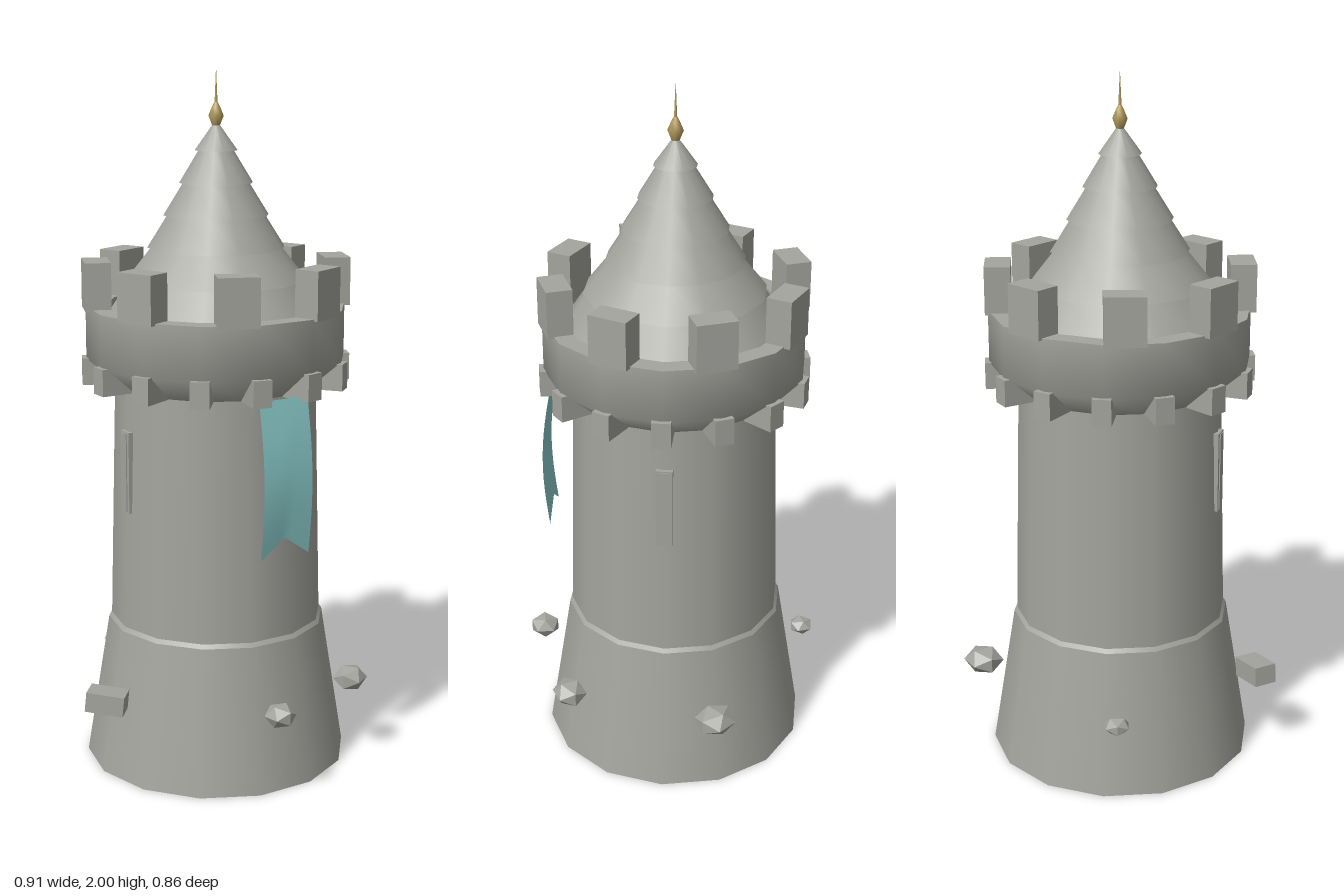
import * as THREE from 'three';

const SIDES = 14;
const material = (name, color) => {
  const m = new THREE.MeshStandardMaterial({ color, side: THREE.DoubleSide });
  m.name = name;
  return m;
};

export function createModel() {
  const stone = material('stone grey', 0xa5a59f);
  const cloth = material('banner teal', 0x8acaca);
  const gold = material('finial gold', 0xb39a5c);

  const model = new THREE.Group();
  model.name = 'tower';
  // the tower axis sits slightly off the centre of the whole
  const tower = new THREE.Group();
  tower.name = 'towerBody';
  tower.position.set(0.012, 0, -0.02);
  model.add(tower);

  const add = (parent, name, geometry, mat, x = 0, y = 0, z = 0) => {
    const mesh = new THREE.Mesh(geometry, mat);
    mesh.name = name;
    mesh.position.set(x, y, z);
    parent.add(mesh);
    return mesh;
  };
  const lathe = (name, points, mat = stone, sides = SIDES) =>
    add(tower, name, new THREE.LatheGeometry(
      points.map(([r, y]) => new THREE.Vector2(r, y)), sides, Math.PI / 2), mat);
  // blocks spaced evenly round the axis, half a step away from the front
  const ringOfBlocks = (name, count, radius, y, size) => {
    for (let i = 0; i < count; i++) {
      const a = ((i + 0.5) / count) * Math.PI * 2;
      const block = add(tower, name, new THREE.BoxGeometry(...size), stone,
        Math.sin(a) * radius, y, Math.cos(a) * radius);
      block.rotation.y = a;
    }
  };

  // walls
  lathe('base', [[0.385, 0], [0.317, 0.42]]);
  lathe('baseShoulder', [[0.317, 0.42], [0.305, 0.437]]);
  lathe('shaft', [[0.309, 0.42], [0.29, 1.14]]);

  // parapet with flared underside, top rim and inner wall
  lathe('parapet', [[0.285, 1.12], [0.371, 1.195], [0.371, 1.347]]);
  lathe('parapetRim', [[0.371, 1.347], [0.315, 1.347]]);
  lathe('parapetInside', [[0.315, 1.347], [0.315, 1.325]]);
  lathe('wallWalk', [[0.315, 1.325], [0.27, 1.325]]);
  ringOfBlocks('corbel', SIDES, 0.335, 1.162, [0.053, 0.076, 0.096]);
  ringOfBlocks('merlon', 8, 0.341, 1.41, [0.114, 0.137, 0.073]);

  // stepped conical roof
  const eaves = [[0.305, 1.33], [0.256, 1.42], [0.195, 1.51], [0.149, 1.6], [0.104, 1.69], [0.06, 1.78]];
  eaves.forEach(([r, y], i) => {
    const next = eaves[i + 1];
    const top = next ? [next[0] - 0.012, next[1] + 0.002] : [0.01, 1.85];
    lathe('roofTier', [[r, y], top]);
    lathe('roofLip', [[r - 0.02, y], [r, y]]);
  });

  // finial
  lathe('finialBulb', [[0.007, 1.835], [0.012, 1.85], [0.022, 1.875], [0.012, 1.898], [0.005, 1.912]], gold, 8);
  lathe('finialSpike', [[0.005, 1.905], [0.0005, 2]], gold, 6);

  // arrow slits on both flanks
  for (const side of [-1, 1]) {
    add(tower, 'arrowSlitFrame', new THREE.BoxGeometry(0.03, 0.235, 0.047), stone, side * 0.288, 0.893, 0);
    add(tower, 'arrowSlit', new THREE.BoxGeometry(0.03, 0.228, 0.026), stone, side * 0.291, 0.893, 0);
  }

  // swallow-tailed banner, bowed outwards
  const flag = new THREE.PlaneGeometry(0.158, 1, 8, 12);
  const p = flag.attributes.position;
  for (let i = 0; i < p.count; i++) {
    const x = p.getX(i);
    const t = 0.5 - p.getY(i);
    const length = 0.39 + 0.055 * Math.abs(x) / 0.079;
    const z = 0.346 + 0.014 * t + 0.022 * Math.sin(Math.PI * t);
    p.setXYZ(i, x, 1.135 - t * length, z);
  }
  flag.computeVertexNormals();
  add(tower, 'banner', flag, cloth);

  // loose stones round the foot: x, y, z, scale x/y/z, turn
  const stones = [
    [-0.119, 0.242, -0.403, 0.038, 0.026, 0.038, 0.4],
    [0.395, 0.247, -0.175, 0.058, 0.04, 0.064, 0.9],
    [0.302, 0.245, 0.262, 0.05, 0.039, 0.056, 2.1],
    [-0.032, 0.247, 0.39, 0.045, 0.036, 0.047, 0.2],
  ];
  for (const [x, y, z, sx, sy, sz, turn] of stones) {
    const rock = add(model, 'rock', new THREE.IcosahedronGeometry(1, 0), stone, x, y, z);
    rock.scale.set(sx, sy, sz);
    rock.rotation.y = turn;
  }
  const block = add(model, 'stoneBlock', new THREE.BoxGeometry(0.11, 0.058, 0.07), stone, -0.393, 0.248, 0.043);
  block.rotation.set(0, -0.72, -0.1);

  return model;
}
